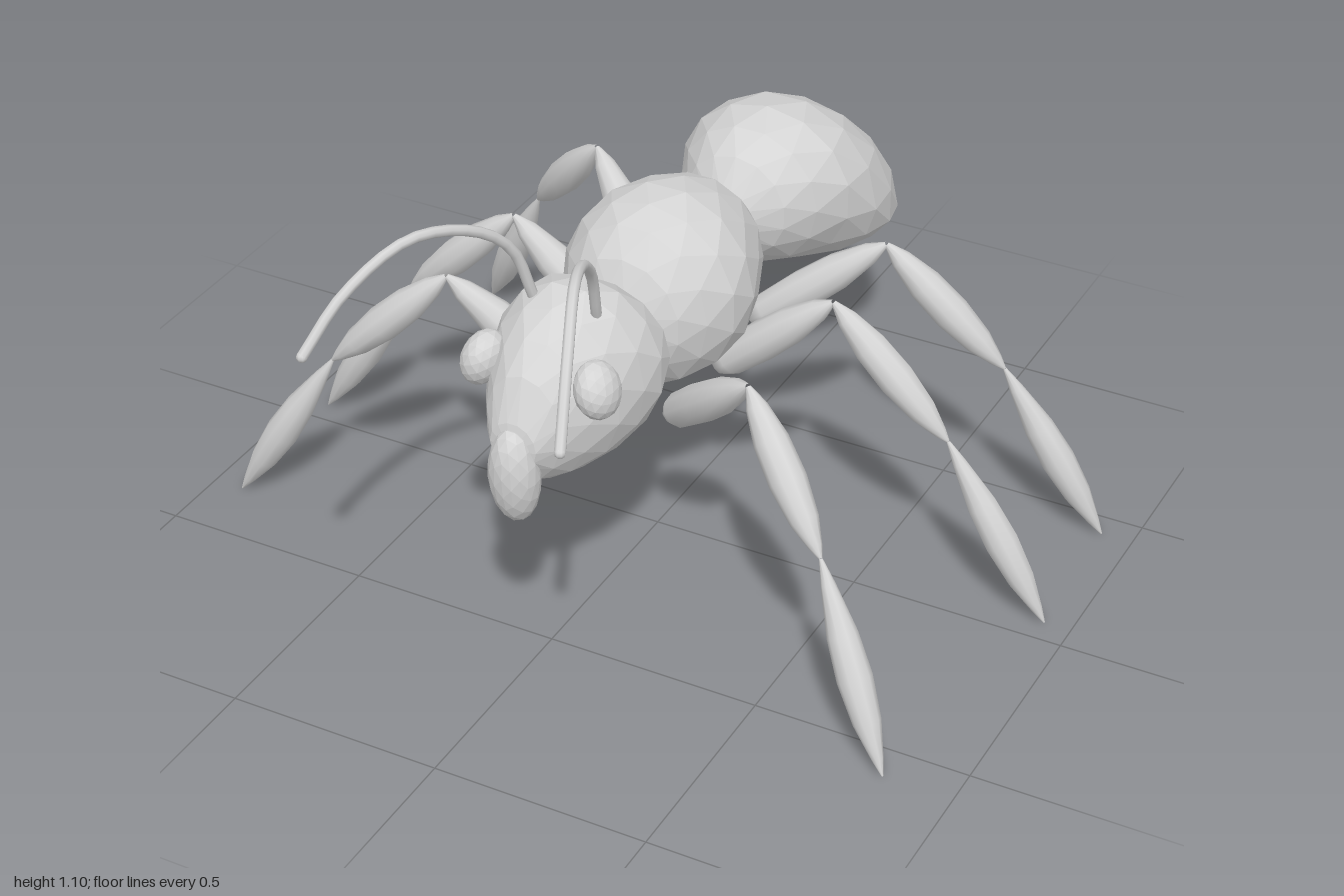
import * as THREE from 'three';

const grey = new THREE.MeshStandardMaterial({ color: 0xd4d4d4 });
grey.name = 'lightGrey';

// Faceted mesh: unshared vertices give flat normals
function faceted(geometry, name) {
  const g = geometry.index ? geometry.toNonIndexed() : geometry;
  g.computeVertexNormals();
  const mesh = new THREE.Mesh(g, grey);
  mesh.name = name;
  return mesh;
}

// Oval cross-sections from front to back: [z, top, bottom, half width, height of widest point]
function loft(name, sections, sides = 14) {
  const pos = [], index = [];
  sections.forEach(([z, top, bottom, w, mid = (top + bottom) / 2], i) => {
    for (let j = 0; j < sides; j++) {
      const a = ((j + 0.5 * (i % 2)) / sides) * Math.PI * 2 + Math.PI / 2;
      const s = Math.sin(a);
      pos.push(w * Math.cos(a), mid + s * (s > 0 ? top - mid : mid - bottom), z);
    }
  });
  for (let i = 0; i < sections.length - 1; i++) {
    for (let j = 0; j < sides; j++) {
      const k = (j + 1) % sides;
      const a = i * sides + j, b = i * sides + k, c = a + sides, d = b + sides;
      // staggered rings: choose the short diagonal
      if (i % 2) index.push(a, d, b, a, c, d);
      else index.push(a, c, b, b, c, d);
    }
  }
  const g = new THREE.BufferGeometry();
  g.setAttribute('position', new THREE.Float32BufferAttribute(pos, 3));
  g.setIndex(index);
  return faceted(g, name);
}

// Smooth spindle between two points; profile holds [fraction of length, radius]
function spindle(name, from, to, profile) {
  const a = new THREE.Vector3(...from), dir = new THREE.Vector3(...to).sub(a);
  const len = dir.length();
  const mesh = new THREE.Mesh(
    new THREE.LatheGeometry(profile.map(([t, r]) => new THREE.Vector2(r, t * len)), 10), grey);
  mesh.name = name;
  mesh.position.copy(a);
  mesh.quaternion.setFromUnitVectors(new THREE.Vector3(0, 1, 0), dir.normalize());
  return mesh;
}

const FEMUR = [[0, 0], [0.02, 0.027], [0.12, 0.041], [0.4, 0.046], [0.65, 0.042], [0.88, 0.025], [1, 0.006]];
const TIBIA = [[0, 0.006], [0.12, 0.024], [0.32, 0.039], [0.55, 0.042], [0.78, 0.032], [0.93, 0.015], [1, 0.004]];
const FOOT = [[0, 0.004], [0.12, 0.016], [0.35, 0.034], [0.55, 0.039], [0.75, 0.031], [0.92, 0.013], [1, 0.002]];

function leg(name, joints) {
  const g = new THREE.Group();
  g.name = name;
  g.add(
    spindle('upperLeg', joints[0], joints[1], FEMUR),
    spindle('lowerLeg', joints[1], joints[2], TIBIA),
    spindle('foot', joints[2], joints[3], FOOT));
  return g;
}

function ellipsoid(name, center, radii, tiltX, tiltZ) {
  const mesh = faceted(new THREE.IcosahedronGeometry(1, 2).scale(...radii), name);
  mesh.position.set(...center);
  mesh.rotation.set(tiltX, 0, tiltZ);
  return mesh;
}

function antenna(name, points) {
  const curve = new THREE.CatmullRomCurve3(points.map(p => new THREE.Vector3(...p)));
  const g = new THREE.Group();
  g.name = name;
  const tube = new THREE.Mesh(new THREE.TubeGeometry(curve, 18, 0.012, 8), grey);
  tube.name = name + 'Stalk';
  const tip = new THREE.Mesh(new THREE.SphereGeometry(0.012, 8, 6), grey);
  tip.name = name + 'Tip';
  tip.position.set(...points[points.length - 1]);
  g.add(tube, tip);
  return g;
}

export function createModel() {
  const ant = new THREE.Group();
  ant.name = 'ant';

  // Three body masses; the abdomen flattens underneath towards the rear
  ant.add(loft('head', [
    [0.66, 0.6, 0.6, 0], [0.645, 0.66, 0.545, 0.055], [0.6, 0.75, 0.495, 0.09],
    [0.54, 0.805, 0.465, 0.125], [0.47, 0.845, 0.45, 0.16], [0.4, 0.866, 0.443, 0.18],
    [0.33, 0.852, 0.455, 0.188], [0.265, 0.807, 0.513, 0.17], [0.22, 0.75, 0.58, 0.12], [0.2, 0.67, 0.67, 0]]));
  ant.add(loft('thorax', [
    [0.205, 0.66, 0.66, 0], [0.195, 0.735, 0.565, 0.09], [0.165, 0.8, 0.51, 0.14],
    [0.11, 0.855, 0.452, 0.18], [0.04, 0.875, 0.435, 0.214], [-0.04, 0.882, 0.428, 0.218],
    [-0.125, 0.862, 0.445, 0.192], [-0.21, 0.823, 0.482, 0.157], [-0.28, 0.755, 0.55, 0.108],
    [-0.315, 0.7, 0.61, 0.06], [-0.328, 0.655, 0.655, 0]]));
  ant.add(loft('abdomen', [
    [-0.31, 0.65, 0.65, 0], [-0.33, 0.715, 0.585, 0.06], [-0.38, 0.782, 0.525, 0.128],
    [-0.45, 0.822, 0.475, 0.175], [-0.54, 0.837, 0.44, 0.217], [-0.64, 0.82, 0.402, 0.24, 0.575],
    [-0.74, 0.766, 0.383, 0.238, 0.52], [-0.84, 0.688, 0.365, 0.208, 0.475], [-0.92, 0.585, 0.37, 0.155, 0.45],
    [-0.97, 0.505, 0.382, 0.1, 0.437], [-0.995, 0.455, 0.41, 0.045, 0.432], [-1, 0.435, 0.435, 0]]));

  // Mouth and eyes
  ant.add(ellipsoid('mouth', [0, 0.53, 0.641], [0.057, 0.118, 0.054], 0.1, 0));
  for (const s of [1, -1]) {
    ant.add(ellipsoid(s > 0 ? 'leftEye' : 'rightEye', [s * 0.136, 0.717, 0.525], [0.047, 0.065, 0.06], 0, s * 0.3));
  }

  // Feelers arch forward and outward
  ant.add(antenna('rightAntenna', [[-0.07, 0.83, 0.425], [-0.09, 0.965, 0.475], [-0.125, 1.05, 0.57],
    [-0.183, 1.095, 0.73], [-0.24, 1.035, 0.885], [-0.278, 0.935, 0.985]]));
  ant.add(antenna('leftAntenna', [[0.08, 0.83, 0.425], [0.1, 0.96, 0.48], [0.13, 1.04, 0.57],
    [0.183, 1.075, 0.7], [0.24, 1.01, 0.83], [0.29, 0.868, 0.955]]));

  // Legs: each left leg is turned half round about the thorax to give a right leg
  const heights = [0.44, 0.685, 0.41, 0.005];
  const plans = [
    { left: 'leftFrontLeg', right: 'rightRearLeg', turn: -0.1,
      plan: [[0.12, 0.16], [0.385, 0.325], [0.625, 0.46], [0.84, 0.588]] },
    { left: 'leftMiddleLeg', right: 'rightMiddleLeg', turn: -0.12,
      plan: [[0.12, -0.06], [0.4, -0.06], [0.685, -0.06], [0.937, -0.06]] },
    { left: 'leftRearLeg', right: 'rightFrontLeg', turn: -0.1,
      plan: [[0.1, -0.27], [0.4, -0.338], [0.68, -0.388], [0.925, -0.434]] },
  ];
  for (const { left, right, turn, plan } of plans) {
    ant.add(leg(left, plan.map(([x, z], i) => [x, heights[i], z])));
    ant.add(leg(right, plan.map(([x, z], i) => [-x, heights[i], turn - z])));
  }
  return ant;
}
